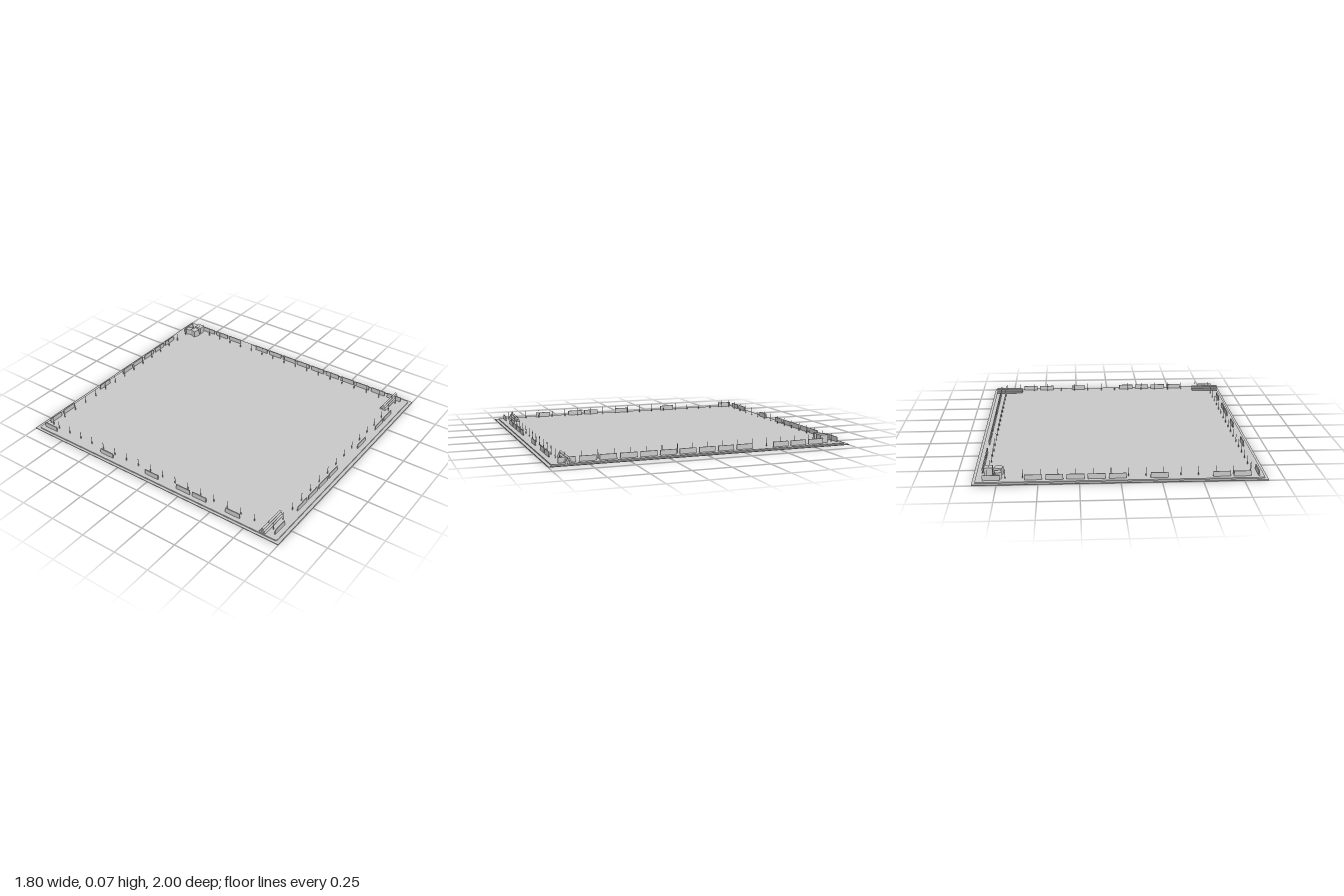
import * as THREE from 'three';

export function createModel() {
  const model = new THREE.Group();
  const grey = new THREE.MeshStandardMaterial({ color: 0xc8c8c8 });
  grey.name = 'plain grey';
  const FLOOR = 0.012;

  function add(parent, name, geometry, x, y, z, turn = 0) {
    const mesh = new THREE.Mesh(geometry, grey);
    mesh.name = name;
    mesh.position.set(x, y, z);
    mesh.rotation.y = turn;
    parent.add(mesh);
    return mesh;
  }
  function group(name) {
    const g = new THREE.Group();
    g.name = name;
    model.add(g);
    return g;
  }

  // Ground plate
  add(model, 'groundPlate', new THREE.BoxGeometry(1.8, 0.005, 2), 0, 0.0025, 0);

  // Raised field slab with small rounded corners
  const w = 0.882, d = 0.978, r = 0.015;
  const outline = new THREE.Shape();
  outline.absarc(w - r, d - r, r, 0, Math.PI / 2);
  outline.absarc(-w + r, d - r, r, Math.PI / 2, Math.PI);
  outline.absarc(-w + r, -d + r, r, Math.PI, Math.PI * 1.5);
  outline.absarc(w - r, -d + r, r, Math.PI * 1.5, Math.PI * 2);
  const slab = new THREE.ExtrudeGeometry(outline, { depth: FLOOR - 0.005, bevelEnabled: false, curveSegments: 4 });
  slab.rotateX(-Math.PI / 2);
  add(model, 'fieldSlab', slab, 0, 0.005, 0);

  // Boards around the edge, on a regular pitch with gaps
  const boards = group('edgeBoards');
  const boardX = new THREE.BoxGeometry(0.107, 0.033, 0.005);
  const boardZ = new THREE.BoxGeometry(0.007, 0.033, 0.107);
  const pitch = 0.1277, boardY = FLOOR + 0.0165;
  for (const k of [0, 2, 3, 4, 5, 8, 10, 11]) add(boards, 'frontBoard', boardX, -0.79 + k * pitch, boardY, 0.942);
  for (const k of [0, 2, 3, 4, 5, 6, 8, 11, 12]) add(boards, 'backBoard', boardX, 0.785 - k * pitch, boardY, -0.948);
  for (const k of [0, 4, 7, 9, 10, 12]) add(boards, 'rightBoard', boardZ, -0.849, boardY, -0.895 + k * pitch);
  for (let k = 0; k < 14; k++) {
    if (k !== 3) add(boards, 'leftBoard', boardZ, 0.845, boardY, -0.783 + k * pitch);
  }

  // Thin stakes inside the boards, each with a thicker foot
  const stakes = group('stakes');
  const pole = new THREE.CylinderGeometry(0.0018, 0.0018, 0.056, 6);
  const foot = new THREE.CylinderGeometry(0.003, 0.003, 0.018, 6);
  function stake(x, z) {
    add(stakes, 'stakePole', pole, x, FLOOR + 0.028, z);
    add(stakes, 'stakeFoot', foot, x, FLOOR + 0.009, z);
  }
  for (let i = 0; i < 16; i++) {
    const x = -0.81 + i * 0.1075;
    stake(x, 0.91);
    stake(-x, -0.918);
  }
  for (let i = 0; i < 18; i++) {
    const z = -0.855 + i * 0.102;
    stake(-0.815, z);
    stake(0.805, z);
  }

  // Two pyramids of pipes, three then two then one
  const R = 0.0073;
  const pipe = new THREE.CylinderGeometry(R, R, 0.2, 10);
  pipe.rotateZ(Math.PI / 2);
  for (const side of [-1, 1]) {
    const pile = group(side > 0 ? 'leftPipePile' : 'rightPipePile');
    for (let row = 0; row < 3; row++) {
      for (let i = 0; i < 3 - row; i++) {
        const z = 0.874 + (i - (2 - row) / 2) * 2 * R;
        add(pile, 'pipe', pipe, side * 0.779, FLOOR + R + row * R * Math.sqrt(3), z);
      }
    }
  }

  // Crates in the back corner: size, x, z, turn
  const crates = group('crates');
  for (const [s, x, z, turn] of [
    [0.052, 0.806, -0.852, 0],
    [0.049, 0.744, -0.853, -0.3],
    [0.041, 0.744, -0.908, 0.22],
  ]) {
    add(crates, 'crate', new THREE.BoxGeometry(s, s, s), x, FLOOR + s / 2, z, turn);
  }
  return model;
}
